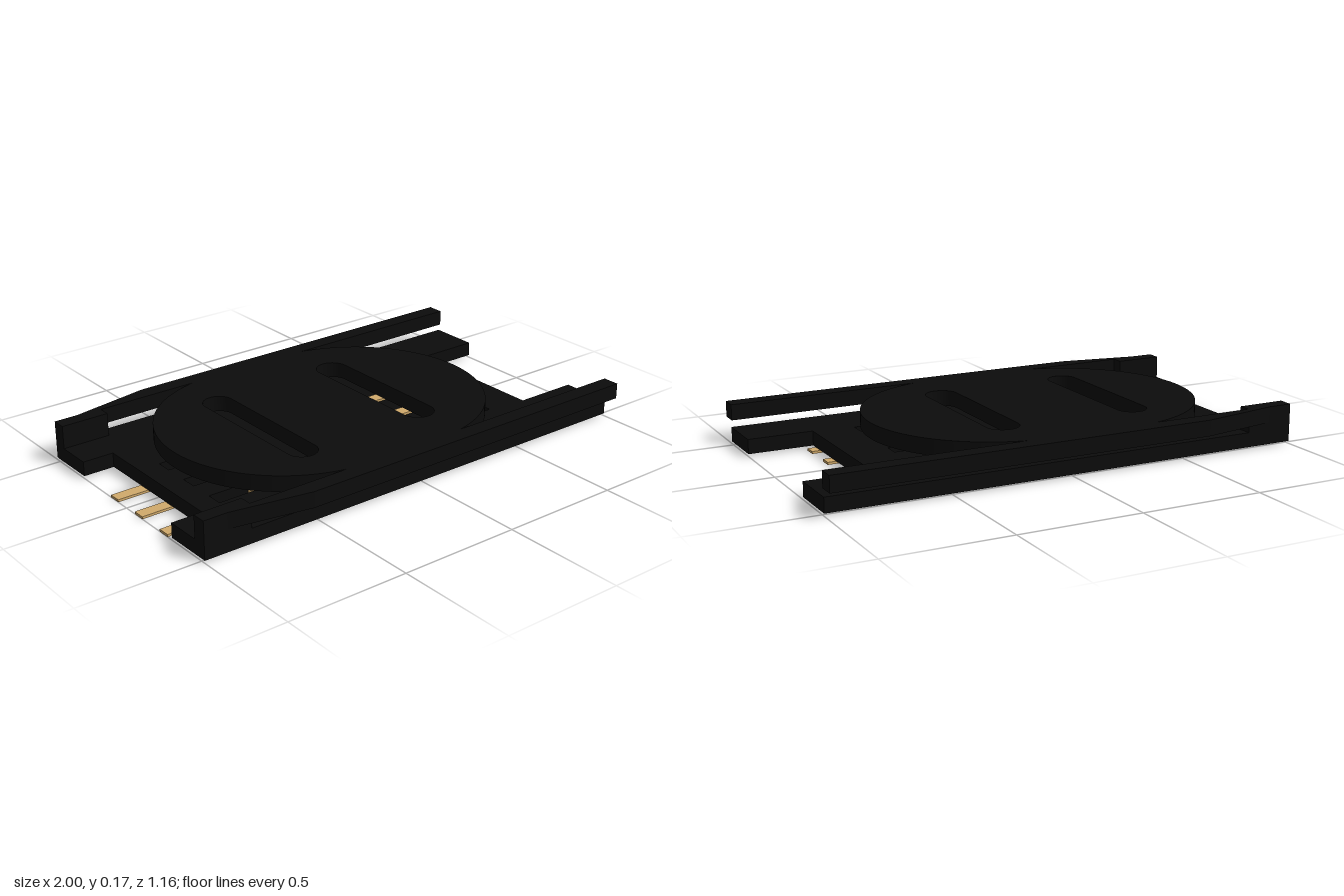
import * as THREE from 'three';

const black = new THREE.MeshStandardMaterial({ color: 0x0c0c0c });
const brass = new THREE.MeshStandardMaterial({ color: 0xd2ab6c });
const rows = [-0.085, 0.085, 0.255]; // z of the contact rows

const shapeOf = (pts) => new THREE.Shape(pts.map(([a, b]) => new THREE.Vector2(a, b)));

// rectangle hole in plan
function rectHole(x0, x1, z0, z1) {
  return shapeOf([[x0, z0], [x0, z1], [x1, z1], [x1, z0]]);
}

// slot with round ends running along z
function roundSlot(x0, x1, halfLength) {
  const r = (x1 - x0) / 2, c = (x0 + x1) / 2, s = new THREE.Path();
  s.absarc(c, halfLength - r, r, 0, Math.PI);
  s.absarc(c, -halfLength + r, r, Math.PI, Math.PI * 2);
  s.closePath();
  return s;
}

// plate drawn in x/z plan, filling y0..y1
function plate(name, shape, y0, y1) {
  const geo = new THREE.ExtrudeGeometry(shape, { depth: y1 - y0, bevelEnabled: false, curveSegments: 32 });
  geo.rotateX(Math.PI / 2).translate(0, y1, 0);
  const mesh = new THREE.Mesh(geo, black);
  mesh.name = name;
  return mesh;
}

// bent strip: follows a path in x/y with constant thickness
function strip(name, path, z, thickness = 0.01, width = 0.052) {
  const pts = path.map(([x, y]) => new THREE.Vector2(x, y));
  const side = (sign) => pts.map((p, i) => {
    const a = pts[Math.max(i - 1, 0)], b = pts[Math.min(i + 1, pts.length - 1)];
    const t = b.clone().sub(a).normalize();
    return new THREE.Vector2(p.x - t.y * sign * thickness / 2, p.y + t.x * sign * thickness / 2);
  });
  const geo = new THREE.ExtrudeGeometry(new THREE.Shape([...side(1), ...side(-1).reverse()]),
    { depth: width, bevelEnabled: false });
  geo.translate(0, 0, z - width / 2);
  const mesh = new THREE.Mesh(geo, brass);
  mesh.name = name;
  return mesh;
}

// solder tail, riser, spring arch and flat tip
function contactPath(tail, arch, tip) {
  const d = Math.sign(tip - tail), r = 0.043, path = [[tail, 0.005]];
  path.push([arch - d * (r + 0.006), 0.005], [arch - d * r, 0.012]);
  for (let i = 0; i <= 10; i++) {
    const a = Math.PI - (i / 10) * Math.PI * 0.95;
    path.push([arch + d * r * Math.cos(a), 0.062 + r * Math.sin(a)]);
  }
  path.push([arch + d * (r + 0.012), 0.07], [tip, 0.07]);
  return path;
}

export function createModel() {
  const model = new THREE.Group();
  model.name = 'cardHolder';

  // base with end notches and contact slots
  const base = shapeOf([
    [-1, -0.52], [1, -0.52], [1, -0.31], [0.73, -0.31], [0.73, 0.31], [1, 0.31],
    [1, 0.52], [-1, 0.52], [-1, 0.31], [-0.87, 0.31], [-0.87, -0.31], [-1, -0.31],
  ]);
  for (const z of rows) {
    base.holes.push(rectHole(-0.78, -0.35, z - 0.034, z + 0.034));
    base.holes.push(rectHole(0.115, 0.56, z - 0.034, z + 0.034));
  }
  model.add(plate('base', base, 0.01, 0.07));

  // cover with round ends and two cross slots
  const cover = new THREE.Shape();
  cover.absarc(0.09, 0, 0.52, -Math.PI / 2, Math.PI / 2);
  cover.absarc(-0.265, 0, 0.52, Math.PI / 2, Math.PI * 1.5);
  cover.closePath();
  cover.holes.push(roundSlot(-0.46, -0.335, 0.34), roundSlot(0.11, 0.245, 0.34));
  model.add(plate('cover', cover, 0.1, 0.165));

  // side rails and the end blocks that carry them
  for (const [s, label] of [[1, 'front'], [-1, 'back']]) {
    const flip = (pts) => shapeOf(pts.map(([x, z]) => [x, z * s]));
    model.add(plate(label + 'Rail', flip([
      [-1, 0.46], [-0.8, 0.46], [-0.8, 0.51], [1, 0.51], [1, 0.58], [-0.57, 0.58], [-0.9, 0.52], [-1, 0.52],
    ]), 0.1, 0.165));
    model.add(plate(label + 'Block', flip([
      [-1, 0.46], [-0.8, 0.46], [-0.8, 0.52], [-1, 0.52],
    ]), 0.07, 0.1));
  }

  // spring contacts, three per end
  for (const z of rows) {
    model.add(strip('rightContact', contactPath(-1, -0.565, -0.37), z));
    model.add(strip('leftContact', contactPath(0.765, 0.335, 0.13), z));
  }
  return model;
}
